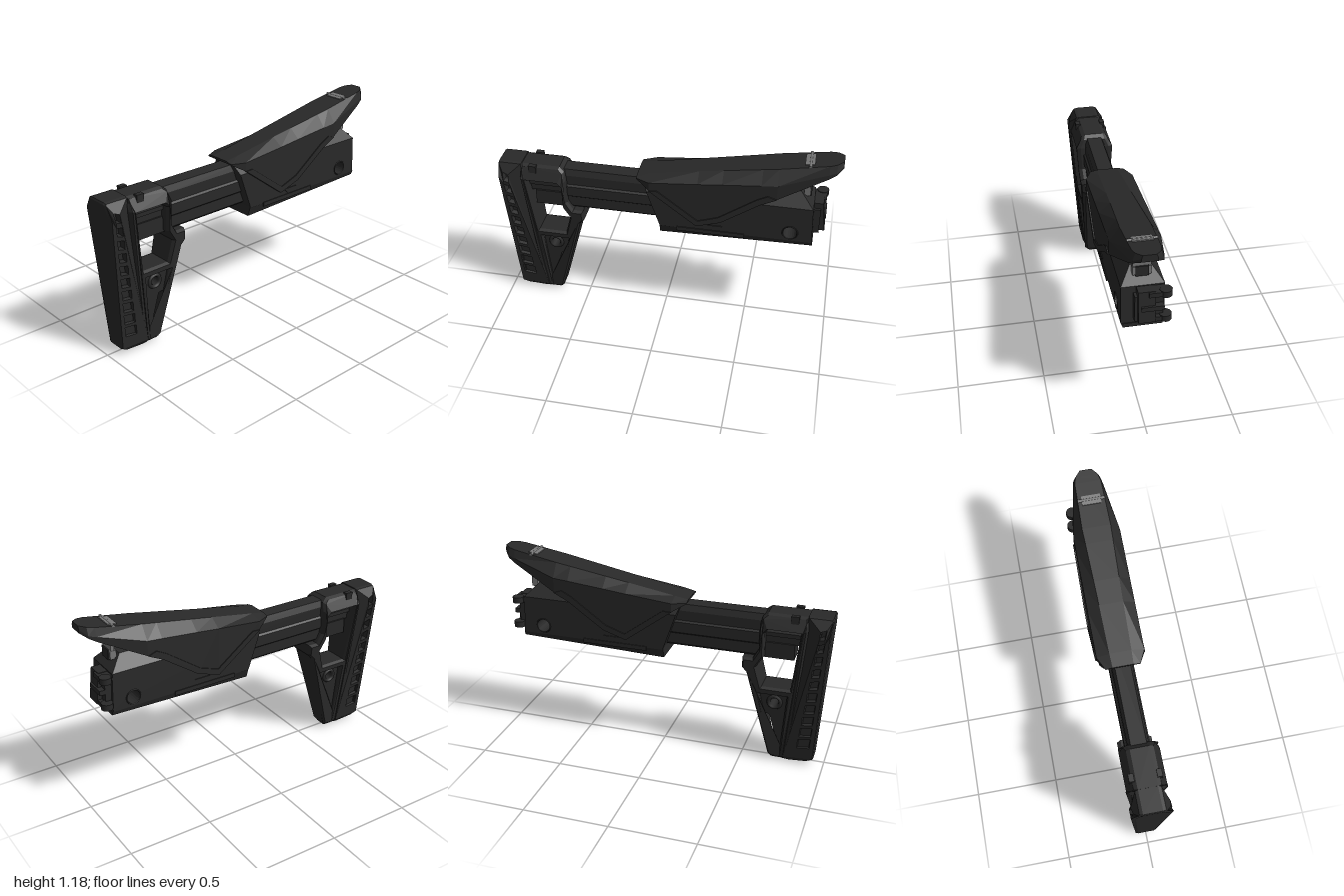
import * as THREE from 'three';

const black = new THREE.MeshStandardMaterial({ color: 0x292929 });
black.name = 'matte black polymer';
const steel = new THREE.MeshStandardMaterial({ color: 0x787878 });
steel.name = 'grey steel';

// piecewise linear lookup through [input, output] pairs
function lerpTable(table, v) {
  if (v <= table[0][0]) return table[0][1];
  for (let i = 1; i < table.length; i++) {
    const [a, p] = table[i - 1], [b, q] = table[i];
    if (v <= b) return p + (q - p) * (v - a) / (b - a);
  }
  return table[table.length - 1][1];
}

// closed path, always counter-clockwise
function toPath(Type, pts) {
  const v = pts.map(([x, y]) => new THREE.Vector2(x, y));
  return new Type(THREE.ShapeUtils.isClockWise(v) ? v.reverse() : v);
}
const circle = (x, y, r, n = 20) => Array.from({ length: n }, (_, i) =>
  [x + r * Math.cos(i / n * Math.PI * 2), y + r * Math.sin(i / n * Math.PI * 2)]);

// side outline extruded across z; halfWidth(y) gives the thickness at each height
function slab(outline, halfWidth, holes = [], bevel = 0) {
  const shape = toPath(THREE.Shape, outline);
  shape.holes = holes.map(h => toPath(THREE.Path, h));
  const bt = bevel ? 0.22 : 0, depth = 2 - 2 * bt;
  const g = new THREE.ExtrudeGeometry(shape, {
    depth, bevelEnabled: bevel > 0, bevelThickness: bt, bevelSize: bevel, bevelOffset: -bevel, bevelSegments: 1,
  });
  g.translate(0, 0, -depth / 2);
  const p = g.attributes.position;
  for (let i = 0; i < p.count; i++) p.setZ(i, p.getZ(i) * halfWidth(p.getY(i)));
  g.computeVertexNormals();
  return g;
}

// full section from its +z half, listed bottom to top as [z, y]
const mirror = half => [...half, ...[...half].reverse().map(([z, y]) => [-z, y])];

// flat shaded skin along x through closed sections
function loft(stations) {
  const rings = stations.map(({ x, section }) => section.map(([z, y]) => [x, y, z]));
  const out = [], n = rings[0].length;
  const quad = (a, b, c, d) => out.push(...a, ...b, ...c, ...a, ...c, ...d);
  for (let r = 0; r < rings.length - 1; r++) {
    for (let i = 0; i < n; i++) {
      const j = (i + 1) % n;
      quad(rings[r][i], rings[r + 1][i], rings[r + 1][j], rings[r][j]);
    }
  }
  const s = rings[0], e = rings[rings.length - 1];
  for (let i = 0; i < n / 2 - 1; i++) {
    quad(s[i], s[i + 1], s[n - 2 - i], s[n - 1 - i]);
    quad(e[n - 1 - i], e[n - 2 - i], e[i + 1], e[i]);
  }
  const g = new THREE.BufferGeometry();
  g.setAttribute('position', new THREE.Float32BufferAttribute(out, 3));
  g.computeVertexNormals();
  return g;
}

export function createModel() {
  const model = new THREE.Group();
  model.name = 'adjustableStock';
  const add = (name, geo, mat = black) => {
    const m = new THREE.Mesh(geo, mat);
    m.name = name;
    model.add(m);
    return m;
  };
  const box = (name, x0, x1, y0, y1, z0, z1, mat) => {
    const m = add(name, new THREE.BoxGeometry(x1 - x0, y1 - y0, z1 - z0), mat);
    m.position.set((x0 + x1) / 2, (y0 + y1) / 2, (z0 + z1) / 2);
    return m;
  };

  // shoulder pad with a column of side pockets over a narrower core
  const buttTable = [[0, 0.032], [0.04, 0.062], [0.88, 0.115], [0.96, 0.068]];
  const butt = y => lerpTable(buttTable, y);
  const padOutline = [[-0.94, 0.045], [-0.9, 0.02], [-0.79, 0.005], [-0.75, 0.012],
    [-0.755, 0.04], [-0.837, 0.88], [-0.858, 0.96], [-0.995, 0.96], [-1, 0.95], [-0.995, 0.88]];
  const pockets = [];
  for (let i = 0; i < 10; i++) {
    const top = 0.9 - i * 0.08, h = 0.052 + i * 0.001;
    const x = -0.965 + i * 0.0055, w = 0.026 + i * 0.0045;
    pockets.push([[x, top], [x + w, top - 0.01], [x + w + 0.004, top - h], [x + 0.006, top - h + 0.008]]);
  }
  add('buttPad', slab(padOutline, y => butt(y) * 1.03, pockets, 0.005));
  add('buttPadCore', slab(padOutline.map(([x, y]) => [-0.87 + (x + 0.87) * 0.9, 0.48 + (y - 0.48) * 0.97]),
    y => butt(y) * 0.93));

  // open frame with upper and lower windows
  const upperWindow = [[-0.826, 0.864], [-0.64, 0.864], [-0.62, 0.84], [-0.62, 0.69],
    [-0.578, 0.62], [-0.612, 0.492], [-0.782, 0.492]];
  const lowerWindow = [[-0.765, 0.445], [-0.6, 0.445], [-0.69, 0.04], [-0.732, 0.04]];
  add('stockFrame', slab([[-0.86, 0.955], [-0.63, 0.955], [-0.6, 0.93], [-0.59, 0.88], [-0.588, 0.73],
    [-0.555, 0.67], [-0.495, 0.67], [-0.492, 0.605], [-0.52, 0.575], [-0.665, 0.04], [-0.685, 0.01],
    [-0.79, 0.008], [-0.79, 0.04], [-0.865, 0.88]], butt, [upperWindow, lowerWindow], 0.01));
  add('frameWeb', slab([[-0.78, 0.46], [-0.59, 0.46], [-0.68, 0.03], [-0.74, 0.03]], y => butt(y) * 0.6,
    [circle(-0.69, 0.39, 0.025),
      [[-0.664, 0.3], [-0.65, 0.307], [-0.632, 0.305], [-0.626, 0.29], [-0.68, 0.05], [-0.7, 0.038],
        [-0.722, 0.04], [-0.73, 0.055]]]));
  for (const s of [1, -1]) {
    add('slingHoleRing', new THREE.TorusGeometry(0.036, 0.012, 6, 20)).position.set(-0.69, 0.39, s * 0.05);
    box('topLug', -0.81, -0.765, 0.915, 0.96, s * 0.078 - 0.015, s * 0.078 + 0.015);
  }

  // tube end inside the upper window
  box('tubeEndRail', -0.83, -0.6, 0.812, 0.836, -0.06, 0.06);
  box('tubeEndUpper', -0.83, -0.6, 0.765, 0.82, -0.045, 0.045);
  box('tubeEndLower', -0.79, -0.6, 0.675, 0.77, -0.055, 0.055);

  // ribbed extension tube
  const tube = mirror([[0.045, 0.675], [0.06, 0.69], [0.06, 0.755], [0.072, 0.765], [0.072, 0.83],
    [0.06, 0.84], [0.06, 0.9], [0.045, 0.937]]);
  add('extensionTube', loft([{ x: -0.615, section: tube }, { x: 0.1, section: tube }]));

  // main body in three layers
  add('bodyMiddle', slab([[-0.02, 0.66], [0.868, 0.66], [0.858, 0.89], [-0.1, 0.89]], () => 0.116,
    [circle(0.74, 0.715, 0.04)]));
  add('bodyTop', slab([[-0.1, 0.89], [0.858, 0.89], [0.78, 0.97], [-0.13, 0.97]],
    y => lerpTable([[0.89, 0.116], [0.97, 0.055]], y)));
  add('bodyBase', slab([[-0.022, 0.602], [0.872, 0.635], [0.872, 0.66], [-0.022, 0.67]],
    y => lerpTable([[0.6, 0.092], [0.66, 0.115]], y)));
  for (const s of [1, -1]) {
    box('sideRail', 0.08, 0.48, 0.642, 0.668, s * 0.117 - 0.004, s * 0.117 + 0.004);
    add('sideNotch', slab([[0.25, 0.705], [0.35, 0.705], [0.32, 0.675], [0.28, 0.675]], () => 0.004))
      .position.z = s * 0.117;
    add('pivotRing', new THREE.TorusGeometry(0.043, 0.004, 6, 24)).position.set(0.74, 0.715, s * 0.116);
  }

  // hinge end with two knuckles on the right side
  box('hingePlate', 0.85, 0.9, 0.69, 0.85, -0.1, 0.05);
  add('hingeBlock', slab([[0.855, 0.7], [0.932, 0.7], [0.912, 0.885], [0.855, 0.885]], () => 0.045))
    .position.z = -0.01;
  box('hingeRidge', 0.88, 0.932, 0.772, 0.8, -0.1, 0.02);
  for (const y of [0.868, 0.71]) {
    box('hingeArm', 0.85, 0.925, y - 0.014, y + 0.014, -0.115, -0.02);
    add('hingeKnuckle', new THREE.CylinderGeometry(0.034, 0.034, 0.036, 12)).position.set(0.9, y, -0.112);
  }

  // sloping hollow cheek rest: x, lower edge, half width, top flat half width, shoulder drop
  const topAt = x => 0.975 + (x + 0.16) * 0.178;
  const cheek = [
    [-0.16, 0.962, 0.1, 0.06, 0.01], [-0.08, 0.915, 0.138, 0.063, 0.022], [0.2, 0.705, 0.138, 0.069, 0.045],
    [0.34, 0.75, 0.138, 0.073, 0.055], [0.56, 0.905, 0.138, 0.08, 0.072], [0.65, 0.95, 0.138, 0.083, 0.08],
    [0.92, 1.09, 0.09, 0.076, 0.05], [0.96, 1.115, 0.08, 0.065, 0.045], [0.995, 1.14, 0.042, 0.034, 0.02],
  ];
  add('cheekRest', loft(cheek.map(([x, b, s, f, drop]) => {
    const t = topAt(x), shoulder = Math.max(t - drop, b + 0.004);
    const inner = Math.max(t - (x > 0.9 ? 0.1 : 0.03), b);
    const innerShoulder = Math.max(Math.min(shoulder - 0.015, inner), b);
    return { x, section: [...mirror([[s, b], [s, shoulder], [f, t]]),
      ...mirror([[s - 0.02, b], [s - 0.02, innerShoulder], [f - 0.01, inner]]).reverse()] };
  })));
  // raised border along the lower edge of each cheek side
  const border = slab([[-0.08, 0.915], [0.2, 0.705], [0.34, 0.75], [0.56, 0.905], [0.65, 0.95],
    [0.6, 0.968], [0.54, 0.937], [0.325, 0.783], [0.207, 0.742], [-0.03, 0.918]], () => 0.004);
  for (const s of [1, -1]) add('cheekBorder', border).position.z = s * 0.14;

  // height post under the cheek rest with its cap on top
  box('postFoot', 0.795, 0.832, 0.94, 0.99, -0.05, 0.05, steel);
  box('postNeck', 0.806, 0.826, 0.98, 1.05, -0.048, 0.048, steel);
  box('postHead', 0.8, 0.831, 1.03, 1.11, -0.05, 0.05, steel);
  box('postLatch', 0.83, 0.838, 0.935, 0.995, -0.035, 0.035);
  const slope = Math.atan(0.178);
  box('postCap', 0.785, 0.84, topAt(0.8125) - 0.012, topAt(0.8125) + 0.006, -0.056, 0.056, steel)
    .rotation.z = slope;
  const pin = add('postPin', new THREE.CylinderGeometry(0.009, 0.009, 0.16, 8), steel);
  pin.rotation.x = Math.PI / 2;
  pin.position.set(0.815, topAt(0.815), 0);
  return model;
}
